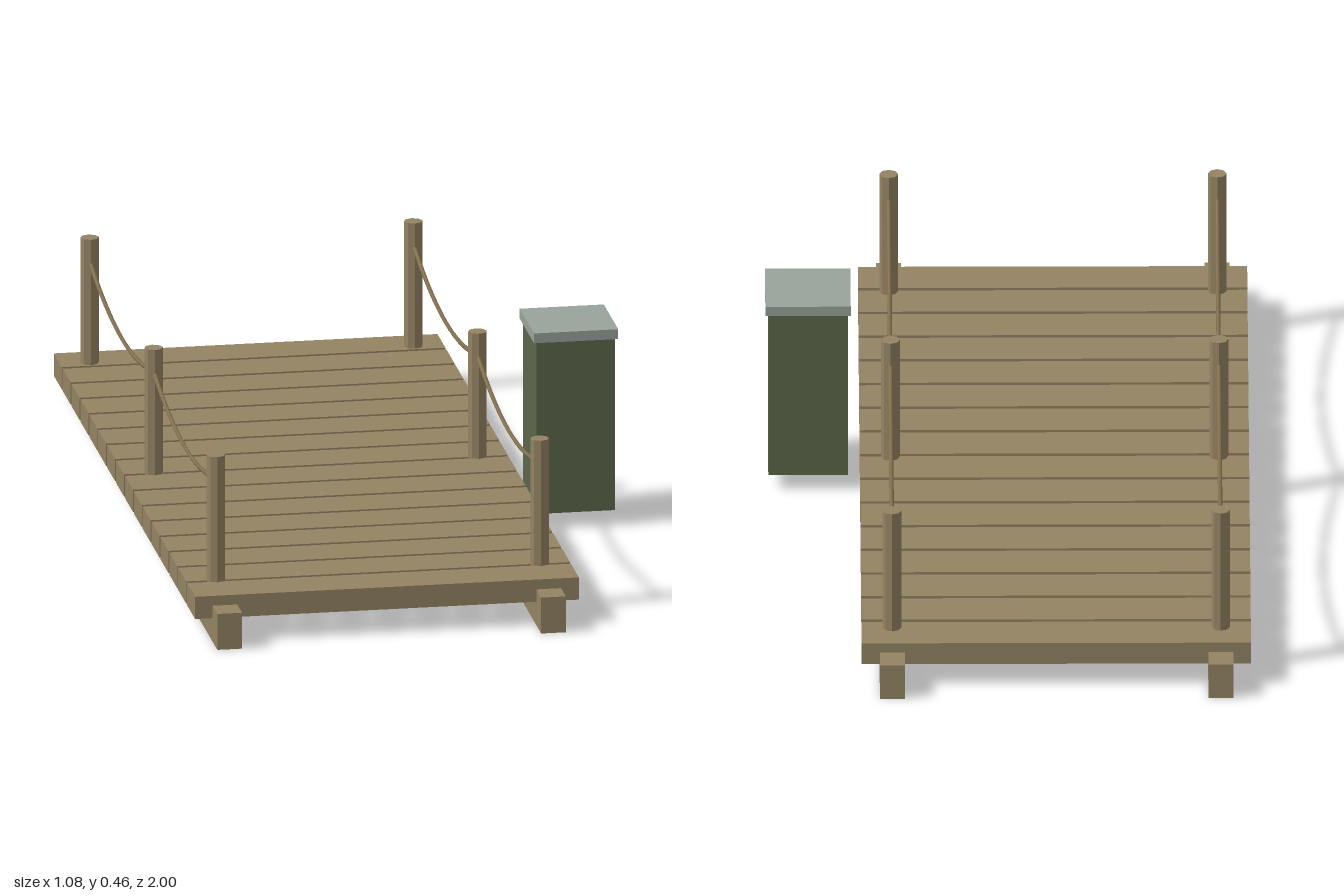
import * as THREE from 'three';

export function createModel() {
  const model = new THREE.Group();
  model.name = 'boardwalk';

  const material = (name, color, flatShading = false) => {
    const m = new THREE.MeshStandardMaterial({ color, flatShading });
    m.name = name;
    return m;
  };
  const wood = material('weathered wood', 0x948363, true);
  const ropeFibre = material('rope fibre', 0x84724f);
  const green = material('cabinet green', 0x5b6649);
  const grey = material('lid grey', 0x98a39b);

  const add = (name, geometry, mat, x, y, z) => {
    const mesh = new THREE.Mesh(geometry, mat);
    mesh.name = name;
    mesh.position.set(x, y, z);
    model.add(mesh);
    return mesh;
  };

  // Cross planks with narrow gaps
  const plank = new THREE.BoxGeometry(0.871, 0.052, 0.106);
  const plankCount = 16, pitch = 0.1178;
  for (let i = 0; i < plankCount; i++) {
    add('plank', plank, wood, -0.107, 0.081, (i - (plankCount - 1) / 2) * pitch);
  }

  const beam = new THREE.BoxGeometry(0.056, 0.084, 2);
  const post = new THREE.CylinderGeometry(0.021, 0.021, 0.34, 8);
  const postZ = [-0.856, -0.008, 0.816];

  for (const x of [-0.475, 0.26]) {
    // Long bearer under each side
    add('bearer', beam, wood, x, 0.042, 0);

    // Railing posts
    for (const z of postZ) add('post', post, wood, x, 0.23, z);

    // Sagging ropes between neighbouring posts
    for (let i = 0; i < postZ.length - 1; i++) {
      const points = [];
      for (let k = 0; k <= 8; k++) {
        const t = k / 8;
        points.push(new THREE.Vector3(
          0, 0.345 - 0.052 * 4 * t * (1 - t),
          THREE.MathUtils.lerp(postZ[i], postZ[i + 1], t)));
      }
      const curve = new THREE.CatmullRomCurve3(points);
      add('rope', new THREE.TubeGeometry(curve, 16, 0.005, 6), ropeFibre, x, 0, 0);
    }
  }

  // Service cabinet beside the deck
  add('cabinetBody', new THREE.BoxGeometry(0.178, 0.402, 0.178), green, 0.444, 0.237, 0.131);
  add('cabinetLid', new THREE.BoxGeometry(0.191, 0.023, 0.191), grey, 0.444, 0.4495, 0.131);

  return model;
}
